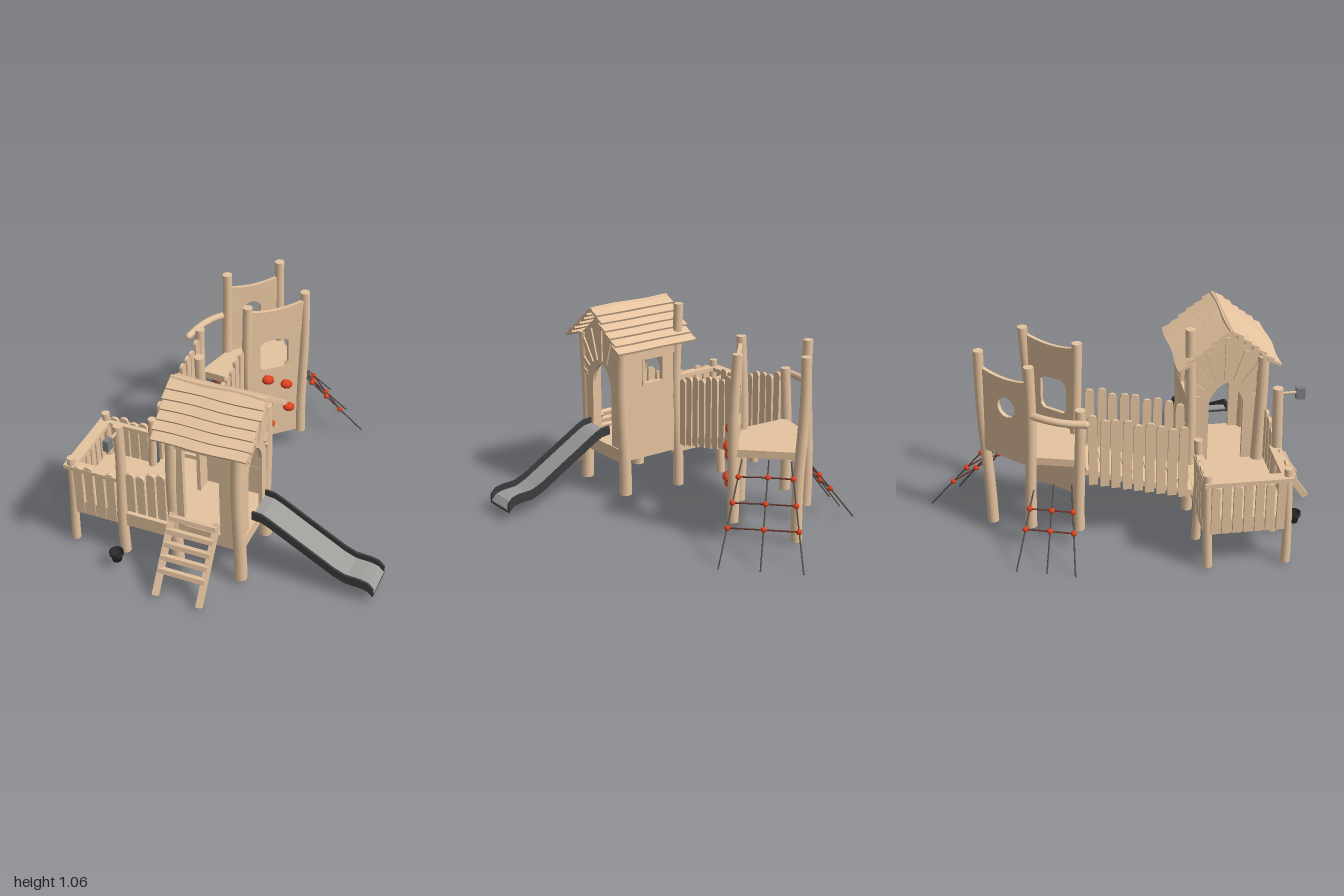
import * as THREE from 'three';

const mat = (name, color) => Object.assign(new THREE.MeshStandardMaterial({ color }), { name });
const wood = mat('wood', 0xe5c39f);
const dark = mat('darkPlastic', 0x3b3c3d);
const black = mat('bucketRubber', 0x2c2c2c);
const grey = mat('slideMetal', 0x9e9c99);
const red = mat('redGrips', 0xe0431f);
const rope = mat('rope', 0x55504c);
const crossRope = mat('crossRope', 0x6e352a);
const boxGrey = mat('pulleyGrey', 0x7d7f80);
const V = (x, y, z) => new THREE.Vector3(x, y, z);

function add(parent, name, geo, material, x = 0, y = 0, z = 0) {
  const m = new THREE.Mesh(geo, material);
  m.name = name;
  m.position.set(x, y, z);
  parent.add(m);
  return m;
}
const box = (p, name, w, h, d, x, y, z, m = wood) => add(p, name, new THREE.BoxGeometry(w, h, d), m, x, y, z);

// Slightly crooked log; lean moves its foot along z
function post(p, name, x, z, y0, y1, r = 0.028, lean = 0) {
  const h = y1 - y0, g = new THREE.CylinderGeometry(r * 0.92, r * 1.05, h, 14, 8);
  const a = g.attributes.position, k = x * 17 + z * 29;
  for (let i = 0; i < a.count; i++) {
    const t = a.getY(i) + h / 2;
    a.setX(i, a.getX(i) + 0.007 * Math.sin(t * 6 + k));
    a.setZ(i, a.getZ(i) + 0.007 * Math.cos(t * 5 + k) + lean * (1 - t / h));
  }
  return add(p, name, g, wood, x, y0 + h / 2, z);
}

// Round bar between two points
function bar(p, name, a, b, r, m = wood, sides = 8) {
  const d = b.clone().sub(a);
  const o = add(p, name, new THREE.CylinderGeometry(r, r, d.length(), sides), m);
  o.position.copy(a).addScaledVector(d, 0.5);
  o.quaternion.setFromUnitVectors(V(0, 1, 0), d.normalize());
  return o;
}

const poly = pts => new THREE.Shape(pts.map(q => new THREE.Vector2(q[0], q[1])));
const extrude = (s, depth) => new THREE.ExtrudeGeometry(s, { depth, bevelEnabled: false, curveSegments: 10 })
  .translate(0, 0, -depth / 2);

// Row of round-topped pickets; base and top heights vary linearly along the row
function pickets(p, name, [x1, z1], [x2, z2], n, base, top, w) {
  for (let i = 0; i < n; i++) {
    const t = (i + 0.5) / n, L = THREE.MathUtils.lerp;
    const h = L(top[0], top[1], t) - L(base[0], base[1], t) + 0.01 * Math.sin(i * 2.3 + x1 * 9);
    const s = poly([[-w / 2, 0], [w / 2, 0], [w / 2, h - w * 0.5]]);
    s.quadraticCurveTo(w * 0.45, h, 0, h);
    s.quadraticCurveTo(-w * 0.45, h, -w / 2, h - w * 0.4);
    const m = add(p, name, extrude(s, 0.016), wood, L(x1, x2, t), L(base[0], base[1], t), L(z1, z2, t));
    m.rotation.y = Math.atan2(z1 - z2, x2 - x1);
    m.rotateZ(0.03 * Math.sin(i * 3.1));
  }
}

// Wobbly plank roof over the house
function roof(p) {
  const a = Math.atan2(0.21, 0.26);
  for (const turn of [0, Math.PI]) {
    const side = new THREE.Group();
    side.name = 'roofSide';
    side.rotation.y = turn;
    p.add(side);
    for (let i = 0; i < 6; i++) {
      const g = new THREE.BoxGeometry(0.505 + 0.01 * Math.sin(i * 2 + turn), 0.014, 0.075, 14, 1, 1);
      const v = g.attributes.position;
      for (let j = 0; j < v.count; j++) {
        const q = Math.sin(v.getX(j) * 17 + i * 0.25 + turn);
        v.setY(j, v.getY(j) + 0.003 * q);
        if (v.getZ(j) > 0) v.setZ(j, v.getZ(j) + 0.004 * q);
      }
      g.computeVertexNormals();
      const d = 0.03 + i * 0.053;
      add(side, 'roofPlank', g, wood, -0.005, 1.05 - d * Math.sin(a), d * Math.cos(a)).rotation.x = a - 0.23;
    }
    side.position.x = turn ? -0.01 : 0;
  }
}

// Gable wall with a pointed doorway and a fan of slats
function gable(p, side) {
  const s = poly([[-0.185, 0.2], [0.185, 0.2], [0.185, 0.87], [0, 1.02], [-0.185, 0.87]]);
  const hole = new THREE.Path();
  hole.moveTo(-0.09, 0.28);
  hole.lineTo(-0.09, 0.6);
  hole.quadraticCurveTo(-0.08, 0.69, 0, 0.73);
  hole.quadraticCurveTo(0.08, 0.69, 0.09, 0.6);
  hole.lineTo(0.09, 0.28);
  s.holes.push(hole);
  add(p, 'gableWall', extrude(s, 0.02), wood, side * 0.172, 0, 0).rotation.y = Math.PI / 2;
  for (let i = 0; i < 9; i++) {
    const t = Math.PI * (0.1 + 0.1 * i), c = Math.cos(t), n = Math.sin(t);
    const r1 = Math.min(0.385 / (n + 0.79 * Math.abs(c)), 0.18 / Math.max(Math.abs(c), 0.01)), r0 = 0.145;
    const m = box(p, 'fanSlat', 0.012, r1 - r0, 0.026, side * 0.185, 0.6 + n * (r0 + r1) / 2, c * (r0 + r1) / 2);
    m.rotation.x = Math.PI / 2 - t;
  }
}

function house(p) {
  box(p, 'houseFloor', 0.38, 0.07, 0.38, 0, 0.245, 0);
  post(p, 'housePost', 0.165, 0.18, 0.02, 0.87, 0.033);
  post(p, 'housePost', -0.185, 0.18, 0.02, 0.87, 0.033);
  post(p, 'housePost', 0.165, -0.18, 0.02, 0.87, 0.033);
  post(p, 'tallHousePost', -0.19, -0.19, 0, 1.05);
  for (const s of [1, -1]) {
    gable(p, s);
    box(p, 'eaveBeam', 0.34, 0.07, 0.025, 0, 0.815, s * 0.19);
  }
  box(p, 'frontBoard', 0.1, 0.58, 0.016, 0.12, 0.5, 0.185);
  box(p, 'frontBoard', 0.04, 0.58, 0.016, -0.145, 0.5, 0.185);
  // Plank back wall around a window
  for (let i = 0; i < 4; i++) box(p, 'backPlank', 0.34, 0.0875, 0.016 + 0.004 * (i % 2), 0, 0.324 + i * 0.0875, -0.185);
  for (let i = 0; i < 2; i++) {
    box(p, 'backPlank', 0.085, 0.075, 0.016 + 0.004 * i, -0.1325, 0.668 + i * 0.075, -0.185);
    box(p, 'backPlank', 0.13, 0.075, 0.016 + 0.004 * i, 0.105, 0.668 + i * 0.075, -0.185);
  }
  for (const y of [0.63, 0.78]) box(p, 'windowFrame', 0.15, 0.016, 0.03, -0.025, y, -0.185);
  for (const x of [-0.092, 0.042]) box(p, 'windowFrame', 0.016, 0.15, 0.03, x, 0.705, -0.185);
  roof(p);
}

function terrace(p) {
  box(p, 'terraceDeck', 0.57, 0.08, 0.43, -0.472, 0.24, 0);
  for (const w of [-0.198, 0.198]) post(p, 'terracePost', -0.752, w, 0.01, 0.54, 0.023);
  post(p, 'backPost', -0.488, -0.202, 0.01, 0.58, 0.023);
  post(p, 'hoistPost', -0.464, 0.2, 0.01, 0.83);
  box(p, 'sideRail', 0.06, 0.022, 0.44, -0.752, 0.49, 0);
  box(p, 'frontRail', 0.31, 0.022, 0.055, -0.61, 0.49, 0.195);
  box(p, 'backRail', 0.27, 0.022, 0.045, -0.62, 0.49, -0.2);
  pickets(p, 'picket', [-0.768, -0.19], [-0.768, 0.19], 7, [0.21, 0.21], [0.48, 0.48], 0.042);
  pickets(p, 'picket', [-0.735, 0.212], [-0.49, 0.212], 4, [0.21, 0.21], [0.51, 0.51], 0.048);
  pickets(p, 'picket', [-0.735, -0.212], [-0.51, -0.212], 4, [0.21, 0.21], [0.52, 0.52], 0.048);
  pickets(p, 'picket', [-0.44, 0.205], [-0.21, 0.205], 4, [0.3, 0.3], [0.53, 0.59], 0.046);
}

// Two-sided chute with a grey running surface
function slide(p) {
  const top = [[0.2, 0.4], [0.25, 0.395], [0.29, 0.375], [0.64, 0.165], [0.7, 0.14], [0.78, 0.135], [0.82, 0.125], [0.85, 0.095]];
  const band = (a, b) => poly([...top.map(([x, y]) => [x, y - a]), ...top.map(([x, y]) => [x, y - b]).reverse()]);
  for (const w of [-0.09, 0.09]) add(p, 'slideSide', extrude(band(0, 0.05), 0.012), dark, 0, 0, w);
  add(p, 'slideBed', extrude(band(0.032, 0.04), 0.17), grey);
  add(p, 'slideUnderside', extrude(band(0.0405, 0.05), 0.17), dark);
}

function ladder(p) {
  for (const s of [-1, 1]) {
    const m = box(p, 'ladderRail', 0.028, 0.43, 0.035, -0.06 + s * 0.12, 0.19, 0.33);
    m.rotation.x = -Math.atan2(0.25, 0.355);
  }
  for (let i = 0; i < 5; i++) {
    const t = 0.05 + i * 0.155;
    box(p, 'ladderRung', 0.255, 0.026, 0.03, -0.06, 0.37 - 0.355 * t, 0.22 + 0.25 * t).rotation.x = -0.25;
  }
}

// Beam, pulley box and bucket
function hoist(p) {
  bar(p, 'hoistBeam', V(-0.48, 0.8, 0.75), V(-0.47, 0.8, 0.86), 0.007);
  box(p, 'pulleyBox', 0.03, 0.06, 0.045, -0.47, 0.795, 0.87, boxGrey);
  const prof = [[0, 0], [0.024, 0], [0.032, 0.04], [0.038, 0.042], [0.038, 0.058], [0.031, 0.058], [0.022, 0.012], [0, 0.012]];
  add(p, 'bucket', new THREE.LatheGeometry(prof.map(q => new THREE.Vector2(...q)), 16), black, -0.47, 0.04, 0.875);
}

// Sloping walkway with level treads and picket sides
function bridge(p) {
  const slope = Math.atan2(0.16, 0.54);
  const run = new THREE.Group();
  run.name = 'bridgeFloor';
  run.position.set(-0.385, 0.34, 0.07);
  run.rotation.set(slope, 0.045, 0, 'YXZ');
  p.add(run);
  box(run, 'bridgeDeck', 0.27, 0.03, 0.58, 0, 0, 0);
  for (let i = 0; i < 4; i++) {
    box(run, 'bridgeTread', 0.19, 0.024, 0.038, 0, 0.022, -0.19 + i * 0.122).rotation.set(-slope, 0.03 * (i % 2 + 1), 0);
  }
  pickets(p, 'bridgePicket', [-0.24, 0.33], [-0.268, -0.19], 9, [0.24, 0.36], [0.63, 0.76], 0.046);
  pickets(p, 'bridgePicket', [-0.508, 0.32], [-0.535, -0.19], 9, [0.24, 0.36], [0.63, 0.74], 0.046);
}

// Upright panel standing along a line on the ground
function panel(p, name, shape, [x1, z1], [x2, z2]) {
  const g = new THREE.Group();
  g.name = name;
  g.position.set(x1, 0, z1);
  g.rotation.y = Math.atan2(z1 - z2, x2 - x1);
  p.add(g);
  add(g, name + 'Board', extrude(shape, 0.02), wood);
  return g;
}

// Three ropes joined by cross ropes, with a ball at every knot
function net(p, tops, ends, rows) {
  tops.forEach((a, i) => bar(p, 'netRope', a, ends[i], 0.004, rope, 6));
  for (const t of rows) {
    const q = tops.map((a, i) => a.clone().lerp(ends[i], t));
    for (let i = 0; i < 3; i++) {
      if (i) bar(p, 'crossRope', q[i - 1], q[i], 0.004, crossRope, 6);
      add(p, 'netKnot', new THREE.SphereGeometry(0.015, 10, 8), red, ...q[i].toArray());
    }
  }
}

function tower(p) {
  const c = [[-0.255, -0.23], [-0.04, -0.485], [-0.29, -0.71], [-0.5, -0.47], [-0.545, -0.23]];
  c.forEach(([x, z], i) => post(p, 'towerPost', x, z, i === 2 ? 0.01 : 0.1, i === 4 ? 0.78 : 1, 0.028, i === 1 || i === 2 ? 0.03 : 0));
  const deck = extrude(poly(c.map(([x, z]) => [x, -z])), 0.04).rotateX(-Math.PI / 2);
  add(p, 'towerDeck', deck, wood, 0, 0.48, 0);
  // Climbing wall with a window
  const wall = poly([[-0.01, 0.125], [0.335, 0.11], [0.335, 0.965]]);
  wall.quadraticCurveTo(0.16, 0.92, -0.01, 0.975);
  wall.holes.push(poly([[0.065, 0.6], [0.085, 0.578], [0.21, 0.575], [0.23, 0.595], [0.23, 0.735], [0.2, 0.76], [0.1, 0.765], [0.065, 0.74]]));
  const w = panel(p, 'climbingWall', wall, [-0.248, -0.224], [-0.033, -0.479]);
  for (const y of [0.28, 0.41, 0.56, 0.8]) box(w, 'wallSeam', 0.335, 0.004, 0.004, 0.163, y, 0.01);
  [[0.095, 0.53], [0.205, 0.47], [0.1, 0.385], [0.22, 0.31], [0.1, 0.23]].forEach(([x, y], i) => {
    const m = add(w, 'climbingGrip', new THREE.SphereGeometry(0.03, 10, 7), red, x, y, 0.042);
    m.scale.set(1.2, 0.85, 0.85);
    m.rotation.z = i % 2 ? -0.3 : -0.15;
    bar(w, 'gripBolt', V(x, y, 0), V(x, y, 0.03), 0.012, red);
  });
  // Panel with a round lookout
  const lookout = poly([[0, 0.45], [0.32, 0.45], [0.32, 0.92]]);
  lookout.quadraticCurveTo(0.16, 0.87, 0, 0.92);
  lookout.holes.push(new THREE.Path().absellipse(0.142, 0.74, 0.056, 0.054, 0, Math.PI * 2));
  panel(p, 'lookoutPanel', lookout, c[3], c[2]);
  // Bowed handrail
  const bow = new THREE.CatmullRomCurve3([V(-0.6, 0.73, -0.2), V(-0.585, 0.735, -0.31), V(-0.55, 0.74, -0.4), V(-0.5, 0.74, -0.47)]);
  add(p, 'bowRail', new THREE.TubeGeometry(bow, 12, 0.019, 10), wood);
  add(p, 'bowRailEnd', new THREE.SphereGeometry(0.0195, 10, 8), wood, -0.6, 0.73, -0.2);
  net(p, [V(-0.25, 0.45, -0.67), V(-0.17, 0.45, -0.59), V(-0.06, 0.45, -0.51)],
    [V(-0.09, 0, -1), V(0.07, 0, -0.86), V(0.225, 0, -0.72)], [0.16, 0.4, 0.63]);
  net(p, [V(-0.505, 0.36, -0.45), V(-0.53, 0.36, -0.36), V(-0.545, 0.36, -0.27)],
    [V(-0.76, 0, -0.56), V(-0.79, 0, -0.41), V(-0.83, 0, -0.27)], [0.3, 0.53]);
}

export function createModel() {
  const root = new THREE.Group();
  root.name = 'playground';
  const front = new THREE.Group();
  front.name = 'houseAndTerrace';
  front.position.set(-0.03, 0, 0.53);
  front.rotation.y = 0.065;
  root.add(front);
  for (const part of [house, terrace, slide, ladder]) part(front);
  for (const part of [hoist, bridge, tower]) part(root);
  return root;
}
